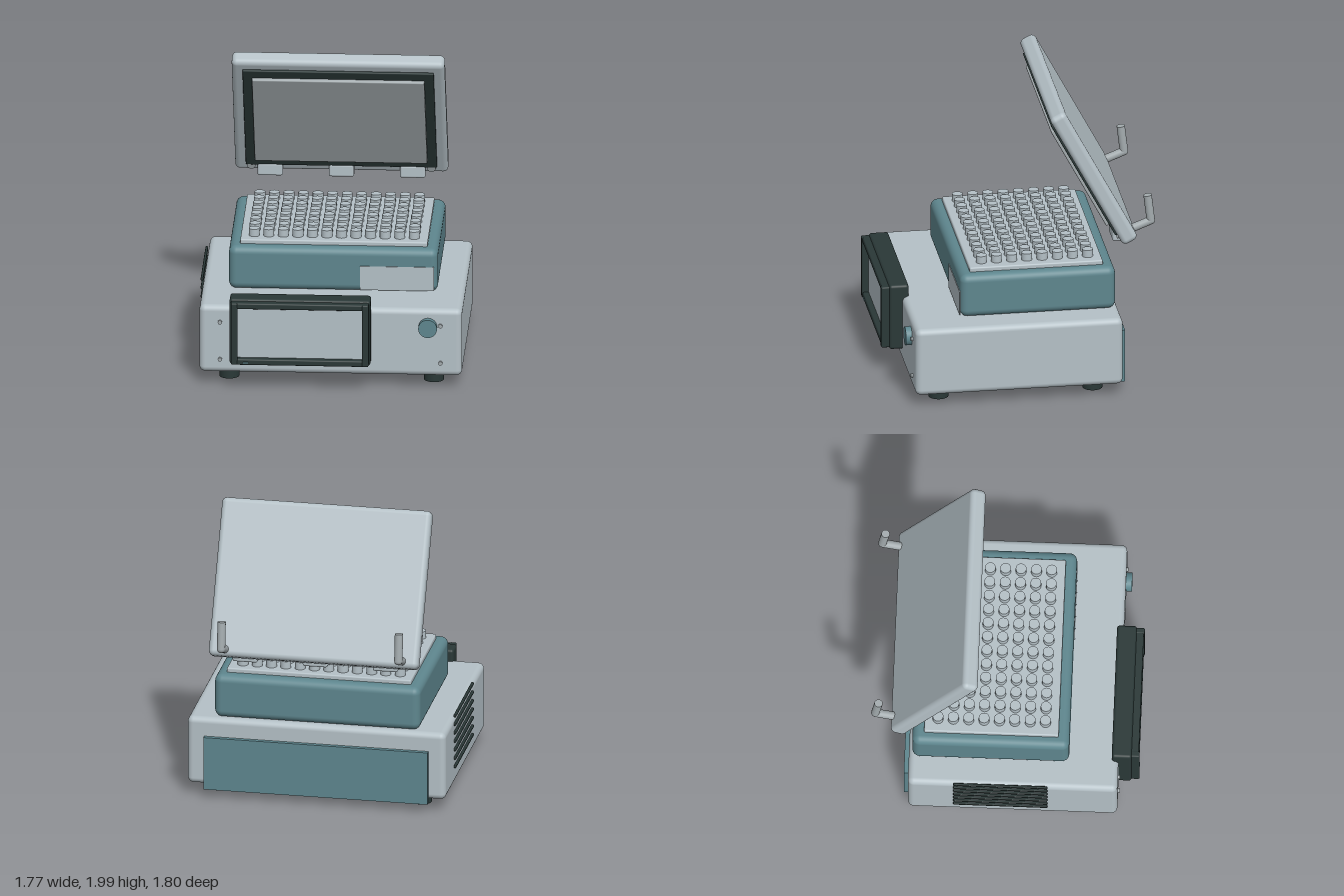
import * as THREE from 'three';
import { RoundedBoxGeometry } from 'three/addons/geometries/RoundedBoxGeometry.js';

const mat = (name, color) => {
  const m = new THREE.MeshStandardMaterial({ color });
  m.name = name;
  return m;
};

export function createModel() {
  const root = new THREE.Group();
  root.name = 'thermalCycler';
  const grey = mat('casingGrey', 0xb4c0c6);
  const metal = mat('metalGrey', 0xa3abae);
  const teal = mat('teal', 0x5e868e);
  const dark = mat('darkTrim', 0x2a3837);

  const add = (parent, name, geo, material, x, y, z) => {
    const mesh = new THREE.Mesh(geo, material);
    mesh.name = name;
    mesh.position.set(x, y, z);
    parent.add(mesh);
    return mesh;
  };
  // Box given by its limits on each axis, with optional edge radius
  const block = (parent, name, material, [x0, x1], [y0, y1], [z0, z1], r = 0) => {
    const s = [x1 - x0, y1 - y0, z1 - z0];
    const geo = r ? new RoundedBoxGeometry(...s, 4, r) : new THREE.BoxGeometry(...s);
    return add(parent, name, geo, material, (x0 + x1) / 2, (y0 + y1) / 2, (z0 + z1) / 2);
  };
  // Round bar between two points
  const rod = (parent, name, material, a, b, r) => {
    const d = b.clone().sub(a);
    const mid = a.clone().add(b).multiplyScalar(0.5);
    const m = add(parent, name, new THREE.CylinderGeometry(r, r, d.length(), 20), material, mid.x, mid.y, mid.z);
    m.quaternion.setFromUnitVectors(new THREE.Vector3(0, 1, 0), d.normalize());
    return m;
  };

  // Base casing, rear panel and feet
  block(root, 'baseCasing', grey, [-0.875, 0.883], [0.082, 0.556], [-0.645, 0.757], 0.04);
  block(root, 'rearPanel', teal, [-0.76, 0.765], [0.057, 0.427], [-0.675, -0.635]);
  for (const x of [-0.682, 0.688]) for (const z of [-0.465, 0.576])
    add(root, 'foot', new THREE.CylinderGeometry(0.067, 0.067, 0.09, 24), dark, x, 0.045, z);

  // Side vent slats
  for (let i = 0; i < 7; i++)
    block(root, 'ventSlat', dark, [-0.89, -0.872], [0.2 + i * 0.0607, 0.22 + i * 0.0607], [-0.34, 0.29], 0.006);

  // Thermal block with well plate
  block(root, 'blockHousing', teal, [-0.695, 0.704], [0.555, 0.857], [-0.622, 0.428], 0.05);
  block(root, 'blockLabel', grey, [0.183, 0.68], [0.57, 0.738], [0.424, 0.432]);
  block(root, 'wellPlate', grey, [-0.622, 0.632], [0.845, 0.887], [-0.545, 0.355], 0.01);
  const wellGeo = new THREE.CylinderGeometry(0.036, 0.036, 0.058, 20);
  for (let c = 0; c < 12; c++) for (let r = 0; r < 8; r++)
    add(root, 'well', wellGeo, grey, -0.532 + c * 0.0973, 0.909, 0.264 - r * 0.1027);

  // Touch display with raised bezel
  const display = new THREE.Group();
  display.name = 'displayUnit';
  root.add(display);
  block(display, 'displayHousing', dark, [-0.668, 0.275], [0.175, 0.637], [0.712, 0.845], 0.02);
  block(display, 'displayScreen', grey, [-0.615, 0.232], [0.225, 0.585], [0.843, 0.852]);
  for (const x of [-0.634, 0.243])
    block(display, 'bezelSide', dark, [x - 0.022, x + 0.022], [0.188, 0.625], [0.835, 0.898], 0.01);
  for (const y of [0.207, 0.603])
    block(display, 'bezelRail', dark, [-0.64, 0.25], [y - 0.021, y + 0.021], [0.835, 0.892], 0.01);
  block(display, 'statusLight', teal, [-0.575, -0.54], [0.2, 0.208], [0.89, 0.896]);

  // Power button and front screws
  const disc = (name, material, r, x, y, z0, z1) => {
    add(root, name, new THREE.CylinderGeometry(r, r, z1 - z0, 32), material, x, y, (z0 + z1) / 2).rotation.x = Math.PI / 2;
  };
  disc('powerButton', teal, 0.063, 0.656, 0.432, 0.755, 0.798);
  for (const x of [-0.736, 0.74]) for (const y of [0.178, 0.442])
    disc('screw', metal, 0.014, x, y, 0.75, 0.77);

  // Tilted lid with seal and heated plate
  const lid = new THREE.Group();
  lid.name = 'lid';
  lid.position.set(0.004, 1.508, -0.474);
  lid.rotation.x = THREE.MathUtils.degToRad(28);
  root.add(lid);
  block(lid, 'lidShell', grey, [-0.713, 0.713], [-0.535, 0.535], [-0.057, 0.057], 0.035);
  block(lid, 'lidSeal', dark, [-0.64, 0.64], [-0.465, 0.465], [0.04, 0.073], 0.008);
  block(lid, 'heatedPlate', metal, [-0.577, 0.577], [-0.4, 0.4], [0.06, 0.097], 0.008);

  // Hinge tabs under the lid and bent arms behind it
  for (const x of [-0.473, 0.004, 0.481])
    block(root, 'hingeTab', grey, [x - 0.085, x + 0.085], [0.99, 1.077], [-0.688, -0.62], 0.015);
  for (const x of [-0.6, 0.607]) {
    const p = (y, z) => new THREE.Vector3(x, y, z);
    rod(root, 'hingeArm', metal, p(1.055, -0.635), p(1.147, -0.872), 0.028);
    rod(root, 'hingeArmUpright', metal, p(1.147, -0.872), p(1.332, -0.85), 0.028);
    add(root, 'hingeElbow', new THREE.SphereGeometry(0.028, 16, 12), metal, x, 1.147, -0.872);
  }
  return root;
}
